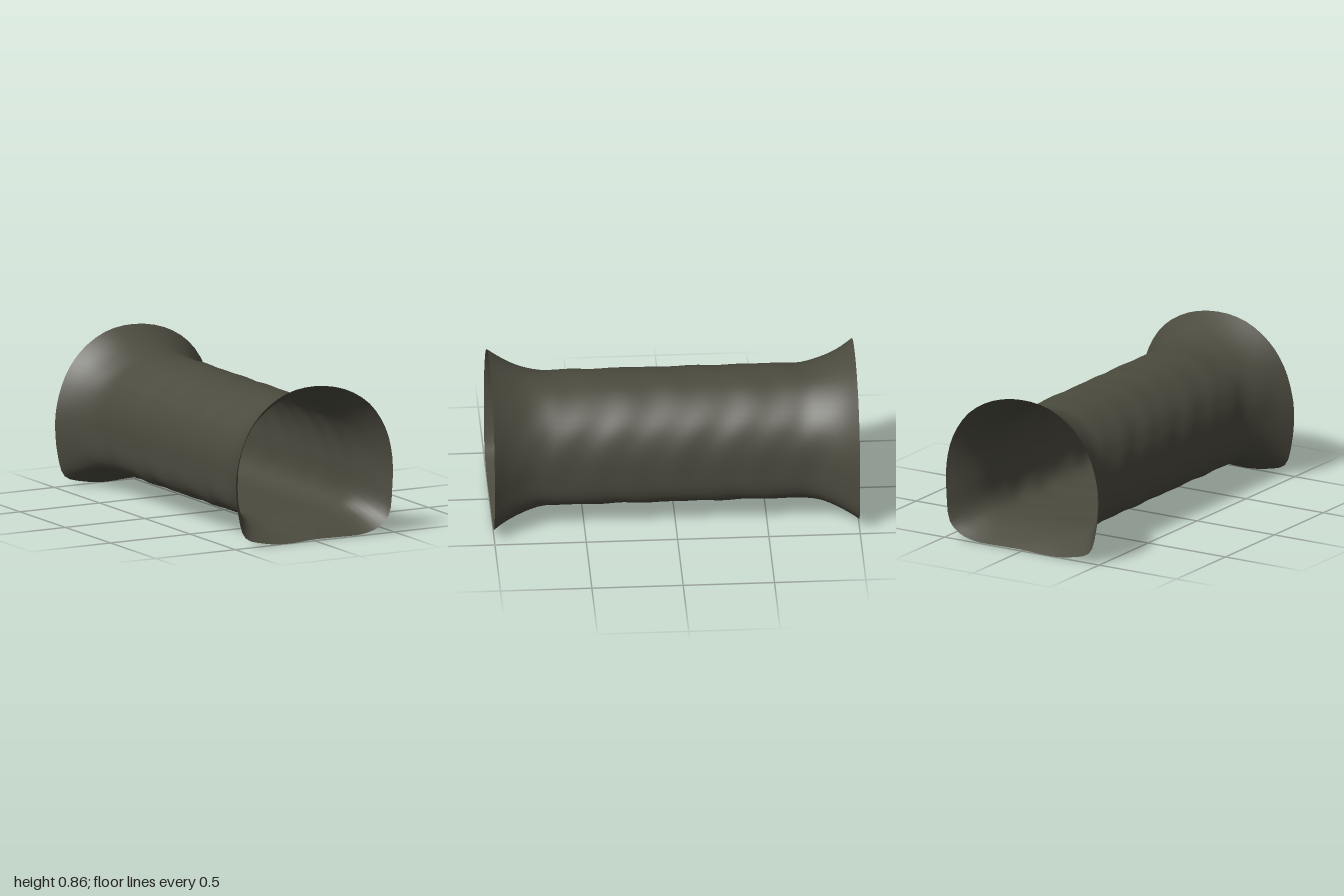
import * as THREE from 'three';

// Matching cross-sections, anticlockwise from the middle of the floor
const bodyProfile = [
  [0, 0.11], [0.14, 0.11], [0.25, 0.115], [0.325, 0.145], [0.36, 0.21], [0.367, 0.32], [0.357, 0.46],
  [0.31, 0.58], [0.23, 0.67], [0.12, 0.735], [0, 0.755], [-0.12, 0.735], [-0.23, 0.67],
  [-0.31, 0.58], [-0.355, 0.46], [-0.364, 0.32], [-0.355, 0.21], [-0.315, 0.145], [-0.24, 0.115], [-0.14, 0.11],
];
const mouthProfile = [
  [0, 0.012], [0.17, 0.01], [0.3, 0.012], [0.4, 0.04], [0.465, 0.1], [0.487, 0.25], [0.487, 0.43],
  [0.445, 0.59], [0.345, 0.735], [0.19, 0.83], [0, 0.866], [-0.18, 0.84], [-0.335, 0.745],
  [-0.43, 0.62], [-0.482, 0.47], [-0.495, 0.35], [-0.478, 0.18], [-0.435, 0.06], [-0.32, 0.02], [-0.18, 0.004],
];

const SIDES = 60;
const RINGS = 64;
const FLARE_START = 0.68;

function smoothLoop(profile) {
  const curve = new THREE.CatmullRomCurve3(profile.map(([x, y]) => new THREE.Vector3(x, y, 0)), true);
  return Array.from({ length: SIDES }, (_, i) => curve.getPoint(i / SIDES));
}

function tunnelGeometry() {
  const body = smoothLoop(bodyProfile);
  const mouth = smoothLoop(mouthProfile);
  const positions = [];
  const indices = [];
  const p = new THREE.Vector3();
  for (let r = 0; r <= RINGS; r++) {
    const z = -1 + (2 * r) / RINGS;
    // Both ends flare outwards in a curve
    const flare = Math.max(0, (Math.abs(z) - FLARE_START) / (1 - FLARE_START)) ** 1.9;
    for (let s = 0; s < SIDES; s++) {
      p.lerpVectors(body[s], mouth[s], flare);
      // Slight unevenness along the body
      const a = (s / SIDES) * Math.PI * 2;
      const wobble = 1 + 0.008 * (1 - flare) * Math.sin(z * 23 + 2 * Math.sin(3 * a)) * Math.cos(2 * a + z * 5);
      positions.push(p.x * wobble, 0.43 + (p.y - 0.43) * wobble, z);
      if (r < RINGS) {
        const i = r * SIDES + s;
        const j = r * SIDES + ((s + 1) % SIDES);
        indices.push(i, j, i + SIDES, j, j + SIDES, i + SIDES);
      }
    }
  }
  const geometry = new THREE.BufferGeometry();
  geometry.setAttribute('position', new THREE.Float32BufferAttribute(positions, 3));
  geometry.setIndex(indices);
  geometry.computeVertexNormals();
  return geometry;
}

export function createModel() {
  const group = new THREE.Group();
  group.name = 'tunnel';
  const stone = new THREE.MeshStandardMaterial({ color: 0x4c4b3f, side: THREE.DoubleSide });
  stone.name = 'dark olive stone';

  // Open-ended tube with flared mouths
  const wall = new THREE.Mesh(tunnelGeometry(), stone);
  wall.name = 'tunnelWall';
  group.add(wall);
  return group;
}
